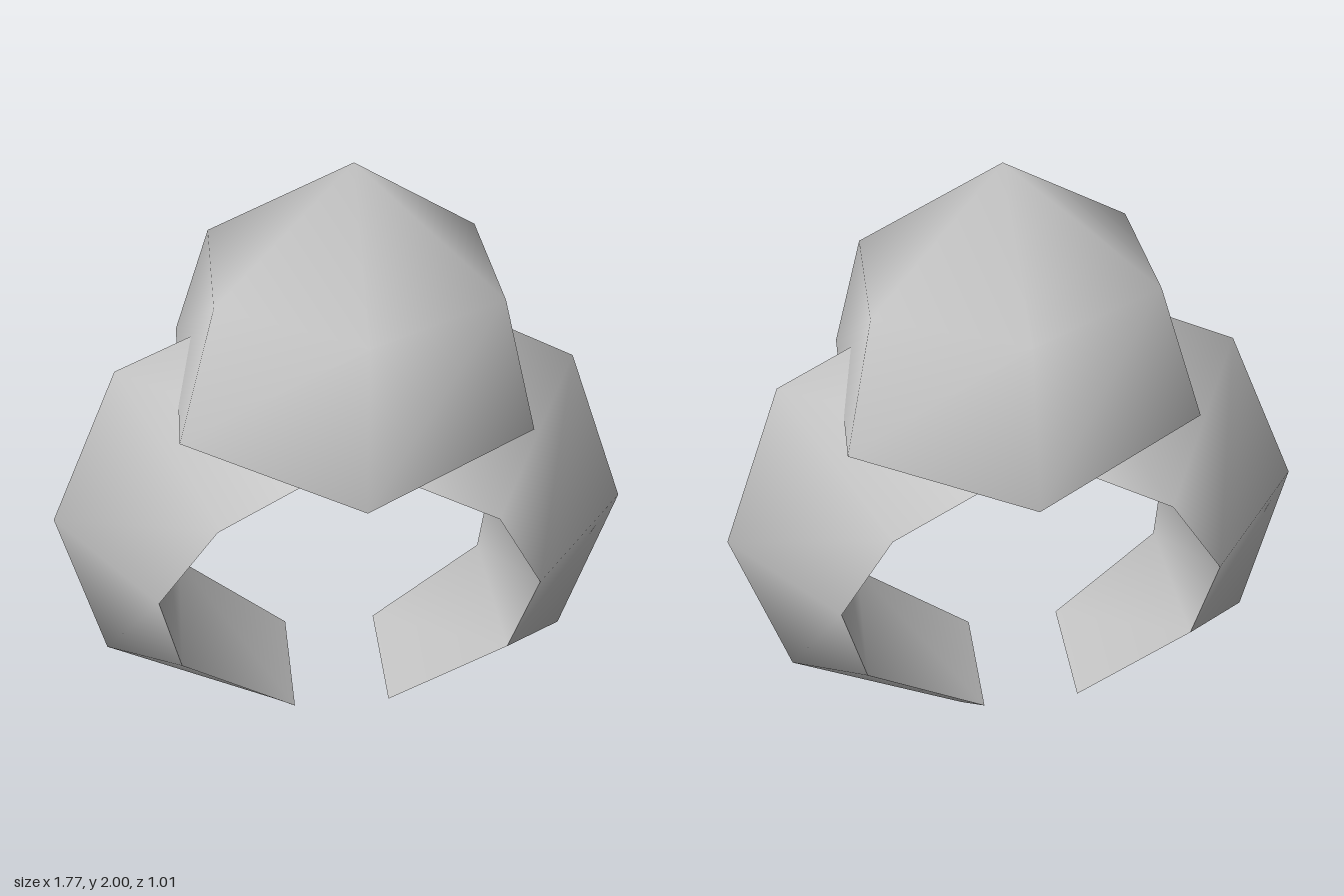
import * as THREE from 'three';

// Smooth skin over rows of points; each row is joined to the next.
function skin(rows, closed = false) {
  const n = rows[0].length;
  const index = [];
  for (let i = 0; i < rows.length - 1; i++) {
    for (let j = 0; j < (closed ? n : n - 1); j++) {
      const a = i * n + j, b = i * n + (j + 1) % n;
      index.push(a, b, b + n, a, b + n, a + n);
    }
  }
  const geometry = new THREE.BufferGeometry();
  geometry.setAttribute('position', new THREE.Float32BufferAttribute(rows.flat(2), 3));
  geometry.setIndex(index);
  geometry.computeVertexNormals();
  return geometry;
}

function triangle(points) {
  const geometry = new THREE.BufferGeometry();
  geometry.setAttribute('position', new THREE.Float32BufferAttribute(points.flat(), 3));
  geometry.computeVertexNormals();
  return geometry;
}

export function createModel() {
  const model = new THREE.Group();
  model.name = 'claspRing';
  const grey = new THREE.MeshStandardMaterial({ color: 0xc4c4c4, side: THREE.DoubleSide });
  grey.name = 'pale grey';

  const add = (parent, name, geometry) => {
    const mesh = new THREE.Mesh(geometry, grey);
    mesh.name = name;
    parent.add(mesh);
  };

  // Open band, triangular in section: ridge x, ridge y, inner x, inner y, half width
  const sections = [
    [0.185, 0.0, 0.13, 0.185, 0.2],
    [0.74, 0.28, 0.5, 0.435, 0.25],
    [0.885, 0.82, 0.56, 0.77, 0.325],
    [0.68, 1.36, 0.4, 1.085, 0.395],
    [0.03, 1.71, -0.02, 1.3, 0.36],
    [-0.65, 1.4, -0.39, 1.11, 0.395],
    [-0.885, 0.88, -0.575, 0.8, 0.325],
    [-0.78, 0.33, -0.53, 0.465, 0.25],
    [-0.24, 0.02, -0.18, 0.19, 0.2],
  ];
  const rings = sections.map(([rx, ry, ix, iy, w]) => [[ix, iy, w], [rx, ry, 0], [ix, iy, -w]]);
  const band = new THREE.Group();
  band.name = 'band';
  model.add(band);
  add(band, 'bandOuter', skin(rings));
  add(band, 'bandInner', skin(rings.map(([front, , back]) => [back, front])));
  const [f, r, b] = rings[0];
  add(band, 'leftEnd', triangle([r, f, b]));
  add(band, 'rightEnd', triangle(rings[rings.length - 1]));

  // Six-sided dome, open underneath: rim, shoulder and tip
  const hexagon = (left, leftY, right, rightY, sideZ, midX, midY, midZ) => [
    [midX, midY, midZ], [left, leftY, sideZ], [left, leftY, -sideZ],
    [midX, midY, -midZ], [right, rightY, -sideZ], [right, rightY, sideZ],
  ];
  const rim = hexagon(0.5, 1.32, -0.475, 1.35, 0.3, 0.01, 1.23, 0.505);
  const shoulder = hexagon(0.41, 1.69, -0.36, 1.715, 0.22, 0.02, 1.7, 0.44);
  const dome = skin([rim, shoulder], true);
  const positions = [...dome.attributes.position.array, 0.03, 2, 0];
  const index = [...dome.index.array];
  for (let i = 0; i < 6; i++) index.push(6 + i, 6 + (i + 1) % 6, 12);
  dome.setAttribute('position', new THREE.Float32BufferAttribute(positions, 3));
  dome.setIndex(index);
  dome.deleteAttribute('normal');
  dome.computeVertexNormals();
  add(model, 'dome', dome);

  return model;
}
